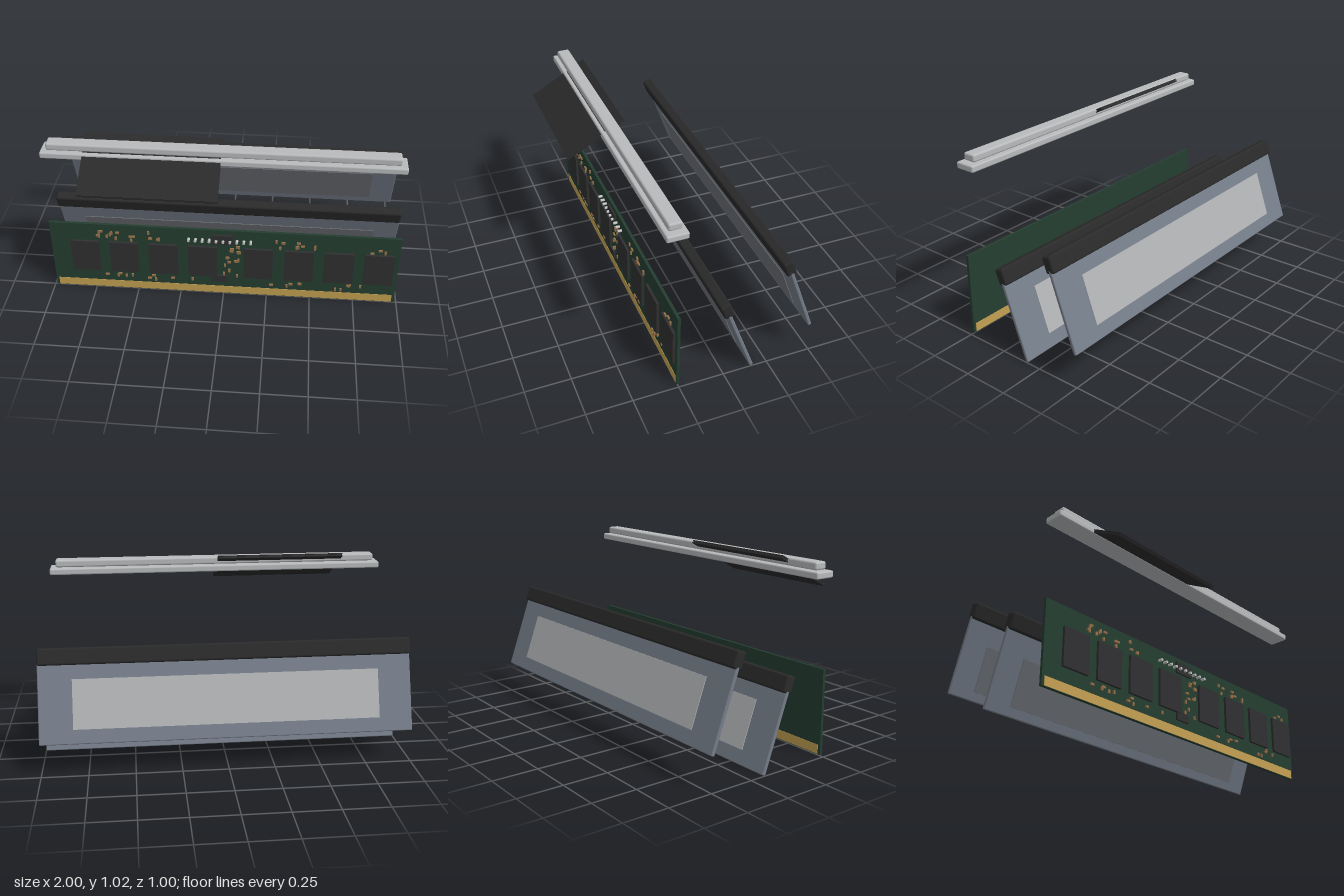
import * as THREE from 'three';
import { RoundedBoxGeometry } from 'three/addons/geometries/RoundedBoxGeometry.js';

const mat = (name, color) => {
  const m = new THREE.MeshStandardMaterial({ color });
  m.name = name;
  return m;
};

export function createModel() {
  const model = new THREE.Group();
  model.name = 'explodedMemoryModule';

  const boardGreen = mat('boardGreen', 0x243e30);
  const gold = mat('contactGold', 0xc4a052);
  const chipBlack = mat('chipCharcoal', 0x302f31);
  const black = mat('trimBlack', 0x2a2a2a);
  const plateGrey = mat('plateBlueGrey', 0x757d89);
  const labelGrey = mat('labelGrey', 0xb0b1b3);
  const padGrey = mat('padGrey', 0x6d7076);
  const silver = mat('diffuserSilver', 0xb8babc);
  const tan = mat('componentTan', 0x94704a);
  const pinGrey = mat('pinLightGrey', 0xc4c4c4);

  // Box by size and centre, rounded when a radius is given
  function box(parent, name, material, [w, h, d], [x, y, z], radius = 0) {
    const geo = radius
      ? new RoundedBoxGeometry(w, h, d, 3, radius)
      : new THREE.BoxGeometry(w, h, d);
    const mesh = new THREE.Mesh(geo, material);
    mesh.name = name;
    mesh.position.set(x, y, z);
    parent.add(mesh);
    return mesh;
  }

  // Circuit board with contact strips on both faces
  const board = new THREE.Group();
  board.name = 'circuitBoard';
  model.add(board);
  const front = 0.257;
  box(board, 'boardPanel', boardGreen, [1.97, 0.46, 0.016], [0, 0.24, 0.249]);
  for (const z of [0.2575, 0.2405]) {
    box(board, 'goldContacts', gold, [1.94, 0.05, 0.003], [0, 0.038, z]);
  }

  // Memory chips, with a gap around the controller
  const chipX = [-0.79, -0.567, -0.342, -0.118, 0.198, 0.428, 0.652, 0.877];
  for (const x of chipX) {
    box(board, 'memoryChip', chipBlack, [0.164, 0.212, 0.015], [x, 0.249, front + 0.0065]);
  }
  box(board, 'controllerChip', chipBlack, [0.122, 0.064, 0.012], [-0.005, 0.409, front + 0.005]);
  box(board, 'regulatorChip', chipBlack, [0.09, 0.046, 0.012], [-0.021, 0.124, front + 0.005]);

  // Row of header pins
  const pinGeo = new THREE.CylinderGeometry(0.008, 0.008, 0.024, 10).rotateX(Math.PI / 2);
  for (let i = 0; i < 10; i++) {
    const pin = new THREE.Mesh(pinGeo, pinGrey);
    pin.name = 'headerPin';
    pin.position.set(-0.195 + i * 0.0388, 0.403, front + 0.012);
    board.add(pin);
  }

  // Tiny surface components: [x min, x max, y min, y max, count]
  let seed = 11;
  const rand = () => (seed = (seed * 16807) % 2147483647) / 2147483647;
  const clusters = [
    [-0.71, -0.35, 0.365, 0.435, 16],
    [0.0, 0.09, 0.15, 0.36, 14],
    [0.25, 0.55, 0.365, 0.415, 9],
    [0.83, 0.96, 0.365, 0.39, 3],
    [-0.75, -0.05, 0.085, 0.13, 10],
    [0.05, 0.85, 0.085, 0.13, 9],
  ];
  for (const [x0, x1, y0, y1, count] of clusters) {
    for (let i = 0; i < count; i++) {
      const x = x0 + (x1 - x0) * rand();
      const y = y0 + (y1 - y0) * rand();
      const upright = rand() > 0.5;
      const size = upright ? [0.012, 0.02, 0.01] : [0.022, 0.012, 0.01];
      box(board, 'surfaceComponent', tan, size, [x, y, front + 0.004]);
    }
  }

  // Heat spreader: top bar, metal plate, rear label and inner pad
  function heatSpreader(y, z) {
    const spreader = new THREE.Group();
    spreader.name = 'heatSpreader';
    spreader.position.set(0, y, z);
    spreader.rotation.x = THREE.MathUtils.degToRad(20);
    box(spreader, 'topBar', black, [2, 0.091, 0.056], [0, 0, 0], 0.012);
    box(spreader, 'metalPlate', plateGrey, [2, 0.44, 0.02], [0, -0.242, 0], 0.006);
    box(spreader, 'rearLabel', labelGrey, [1.64, 0.265, 0.005], [0, -0.253, -0.0115]);
    box(spreader, 'innerPad', padGrey, [1.72, 0.25, 0.005], [0, -0.285, 0.0115]);
    model.add(spreader);
  }
  heatSpreader(0.439, -0.007);
  heatSpreader(0.618, -0.335);

  // Stepped light diffuser
  const diffuser = new THREE.Group();
  diffuser.name = 'lightDiffuser';
  model.add(diffuser);
  box(diffuser, 'diffuserBase', silver, [1.92, 0.037, 0.115], [-0.005, 0.949, 0.249], 0.009);
  box(diffuser, 'diffuserTop', silver, [1.855, 0.042, 0.073], [-0.005, 0.991, 0.25], 0.011);

  // Tilted nameplate slotted through the diffuser, two layers on a core
  const nameplate = new THREE.Group();
  nameplate.name = 'tiltedPlate';
  nameplate.position.set(-0.373, 0.929, 0.336);
  nameplate.rotation.x = THREE.MathUtils.degToRad(29.2);
  box(nameplate, 'plateCore', chipBlack, [0.72, 0.006, 0.362], [0, 0, 0]);
  for (const side of [-1, 1]) {
    box(nameplate, 'plateLayer', black, [0.73, 0.006, 0.37], [0, side * 0.006, 0]);
  }
  model.add(nameplate);

  return model;
}
